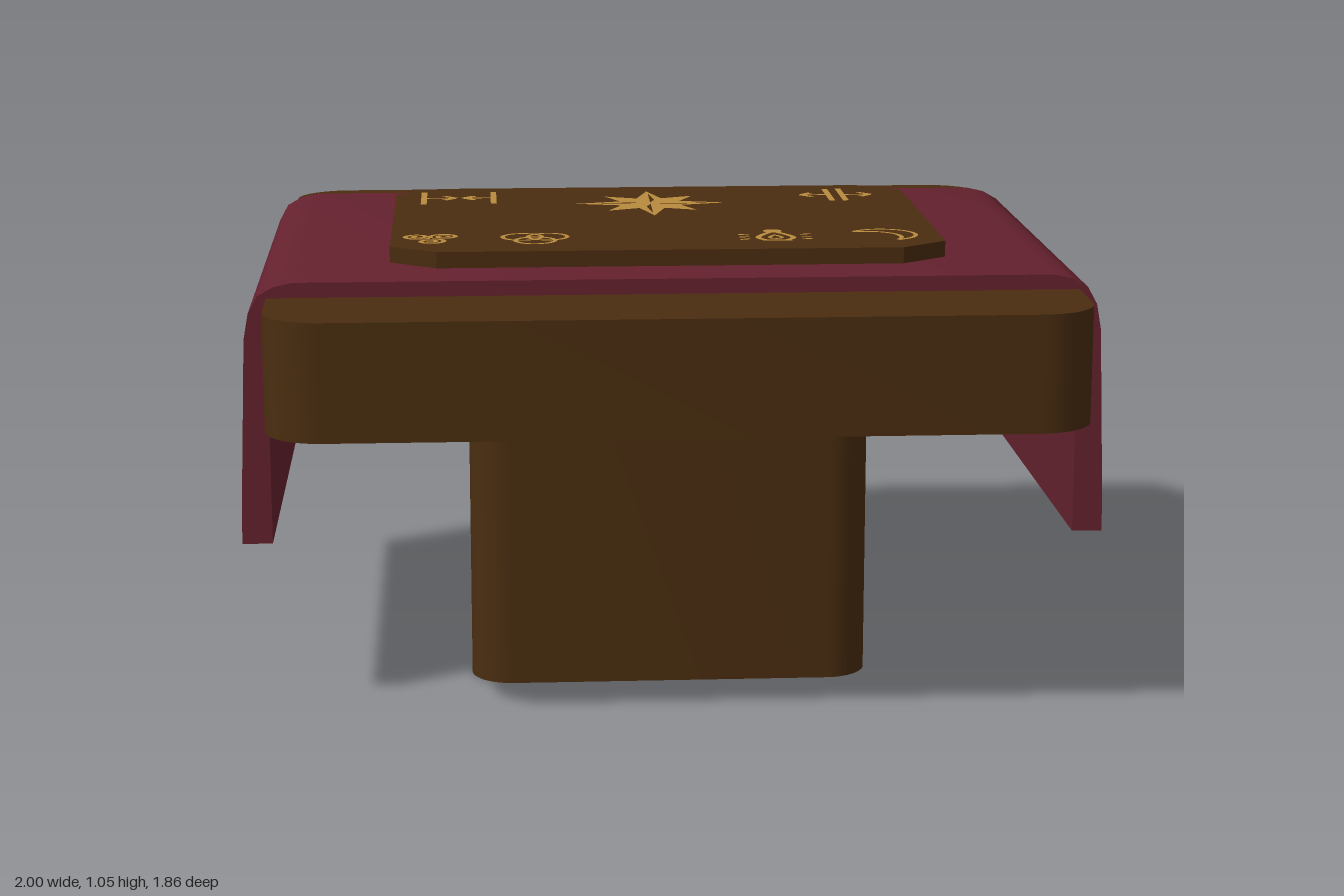
import * as THREE from 'three';
import { mergeGeometries, toCreasedNormals } from 'three/addons/utils/BufferGeometryUtils.js';

const wood = new THREE.MeshStandardMaterial({ color: 0x4a2d10 });
wood.name = 'darkWood';
const cloth = new THREE.MeshStandardMaterial({ color: 0x64212e });
cloth.name = 'burgundyCloth';
const gold = new THREE.MeshStandardMaterial({ color: 0xb98a3e });
gold.name = 'goldInlay';

const INLAY_Y = 1.051;

function part(name, geometry, material) {
  const mesh = new THREE.Mesh(geometry, material);
  mesh.name = name;
  return mesh;
}

// Upright slab with rounded vertical corners
function roundedSlab(half, radius, y0, y1) {
  const s = new THREE.Shape();
  const c = half - radius;
  s.absarc(c, c, radius, 0, Math.PI / 2);
  s.absarc(-c, c, radius, Math.PI / 2, Math.PI);
  s.absarc(-c, -c, radius, Math.PI, Math.PI * 1.5);
  s.absarc(c, -c, radius, Math.PI * 1.5, Math.PI * 2);
  const g = new THREE.ExtrudeGeometry(s, { depth: y1 - y0, bevelEnabled: false, curveSegments: 8 });
  g.rotateX(-Math.PI / 2).translate(0, y0, 0);
  return toCreasedNormals(g, 0.6);
}

// Flat ribbon along a path of [x, z] points
function stroke(points, width = 0.011) {
  const n = points.length;
  const g = new THREE.PlaneGeometry(1, 1, n - 1, 1);
  const closed = Math.hypot(points[0][0] - points[n - 1][0], points[0][1] - points[n - 1][1]) < 1e-6;
  points.forEach(([x, z], i) => {
    const a = points[i > 0 ? i - 1 : closed ? n - 2 : 0];
    const b = points[i < n - 1 ? i + 1 : closed ? 1 : n - 1];
    const dx = b[0] - a[0], dy = a[1] - b[1];
    const k = width / 2 / (Math.hypot(dx, dy) || 1);
    g.attributes.position.setXYZ(i, x - dy * k, -z + dx * k, 0);
    g.attributes.position.setXYZ(i + n, x + dy * k, -z - dx * k, 0);
  });
  return g.rotateX(-Math.PI / 2).translate(0, INLAY_Y, 0);
}

// Points of an arc; the radius may change along it, giving a spiral
function arc(cx, cz, r0, r1, a0, a1, n = 24) {
  return Array.from({ length: n + 1 }, (_, i) => {
    const t = i / n, a = a0 + (a1 - a0) * t, r = r0 + (r1 - r0) * t;
    return [cx + r * Math.cos(a), cz + r * Math.sin(a)];
  });
}

function smooth(points, n = 24) {
  const curve = new THREE.SplineCurve(points.map(([x, z]) => new THREE.Vector2(x, z)));
  return curve.getPoints(n).map((p) => [p.x, p.y]);
}

// Horizontal arrow with an open head
function arrow(x0, x1, z) {
  const back = Math.sign(x0 - x1) * 0.028;
  return [
    stroke([[x0, z], [x1, z]], 0.013),
    stroke([[x1 + back, z - 0.03], [x1, z]], 0.016),
    stroke([[x1, z], [x1 + back, z + 0.03]], 0.016),
  ];
}

const bar = (x) => stroke([[x, -0.395], [x, -0.205]], 0.015);

// Eight-pointed star with slits down its four long points
function starGeometry() {
  const s = new THREE.Shape();
  for (let i = 0; i < 16; i++) {
    const r = i % 2 ? 0.082 : i % 4 ? 0.158 : 0.19;
    const a = (i / 16) * Math.PI * 2;
    s[i ? 'lineTo' : 'moveTo'](r * Math.cos(a), r * Math.sin(a));
  }
  s.closePath();
  for (let i = 0; i < 4; i++) {
    const a = (i * Math.PI) / 2, c = Math.cos(a), d = Math.sin(a);
    const hole = new THREE.Path();
    [[0.012, 0], [0.05, -0.012], [0.155, -0.002]].forEach(([u, v], k) =>
      hole[k ? 'lineTo' : 'moveTo'](u * c - v * d, u * d + v * c));
    hole.closePath();
    s.holes.push(hole);
  }
  return new THREE.ShapeGeometry(s).rotateX(-Math.PI / 2).translate(-0.01, INLAY_Y, -0.19);
}

// Three linked spirals
function spirals() {
  return [[-0.592, 0.278, 0.6], [-0.527, 0.278, 2.7], [-0.56, 0.342, 4.8]].map(([x, z, a]) =>
    stroke(arc(x, z, 0.036, 0.006, a, a + Math.PI * 3.3, 32), 0.012));
}

// Three overlapping rings
function rings() {
  return [[-0.343, 0.293], [-0.283, 0.293], [-0.313, 0.343]].map(([x, z]) =>
    stroke(arc(x, z, 0.047, 0.047, 0, Math.PI * 2)));
}

// Drop-shaped lamp with rays
function lamp() {
  const x = 0.258;
  const out = [
    new THREE.CircleGeometry(0.023, 16).rotateX(-Math.PI / 2).translate(x, INLAY_Y, 0.245),
    stroke(smooth([[x, 0.25], [x - 0.025, 0.29], [x - 0.042, 0.335], [x - 0.025, 0.37], [x, 0.374],
      [x + 0.025, 0.37], [x + 0.042, 0.335], [x + 0.025, 0.29], [x, 0.25]], 32), 0.014),
    stroke(smooth([[x, 0.3], [x - 0.015, 0.335], [x, 0.352], [x + 0.015, 0.335], [x, 0.3]], 16), 0.009),
    stroke([[x - 0.035, 0.374], [x + 0.035, 0.374]], 0.011),
  ];
  for (const s of [-1, 1])
    for (const k of [-1, 0, 1])
      out.push(stroke([[x + s * 0.062, 0.325 + k * 0.026], [x + s * 0.086, 0.325 + k * 0.036]]));
  return out;
}

// Outlined crescent
function crescent() {
  return [
    stroke(smooth([[0.45, 0.265], [0.485, 0.24], [0.53, 0.236], [0.575, 0.26], [0.595, 0.305],
      [0.583, 0.352], [0.545, 0.385]])),
    stroke(smooth([[0.545, 0.385], [0.557, 0.345], [0.545, 0.3], [0.507, 0.27], [0.45, 0.265]])),
  ];
}

export function createModel() {
  const model = new THREE.Group();
  model.name = 'altarTable';

  model.add(part('pedestal', roundedSlab(0.475, 0.1, 0, 0.71), wood));
  model.add(part('tableTop', roundedSlab(0.93, 0.135, 0.705, 0.975), wood));

  // Runner draped over both sides
  const drape = [[1, 0.4], [0.998, 0.5], [0.99, 0.7], [0.983, 0.88], [0.972, 0.94],
    [0.95, 0.98], [0.915, 1.0], [0.87, 1.01]];
  const outline = [[0.93, 0.4], ...drape];
  const mirrored = outline.map(([x, y]) => [-x, y]).reverse();
  const profile = [...outline, ...mirrored, [-0.93, 0.975], [0.93, 0.975]];
  const runner = new THREE.ExtrudeGeometry(
    new THREE.Shape(profile.map(([x, y]) => new THREE.Vector2(x, y))),
    { depth: 1.292, bevelEnabled: false });
  runner.translate(0, 0, -0.656);
  model.add(part('clothRunner', toCreasedNormals(runner, 0.7), cloth));

  // Board with clipped corners
  const corners = [[0.655, 0.39], [0.545, 0.473], [-0.545, 0.473], [-0.655, 0.39],
    [-0.655, -0.39], [-0.545, -0.473], [0.545, -0.473], [0.655, -0.39]];
  const board = new THREE.ExtrudeGeometry(
    new THREE.Shape(corners.map(([x, y]) => new THREE.Vector2(x, y))),
    { depth: 0.043, bevelEnabled: false });
  board.rotateX(-Math.PI / 2).translate(0, 1.005, 0);
  model.add(part('board', board, wood));

  // Gold inlays
  const inlays = new THREE.Group();
  inlays.name = 'inlays';
  inlays.add(part('star', starGeometry(), gold));
  const symbols = {
    inwardArrows: [bar(-0.583), bar(-0.406), ...arrow(-0.58, -0.503, -0.3), ...arrow(-0.406, -0.482, -0.3)],
    outwardArrows: [bar(0.455), bar(0.49), ...arrow(0.455, 0.383, -0.3), ...arrow(0.49, 0.563, -0.3)],
    spirals: spirals(),
    rings: rings(),
    lamp: lamp(),
    crescent: crescent(),
  };
  for (const [name, pieces] of Object.entries(symbols))
    inlays.add(part(name, mergeGeometries(pieces), gold));
  model.add(inlays);

  return model;
}
